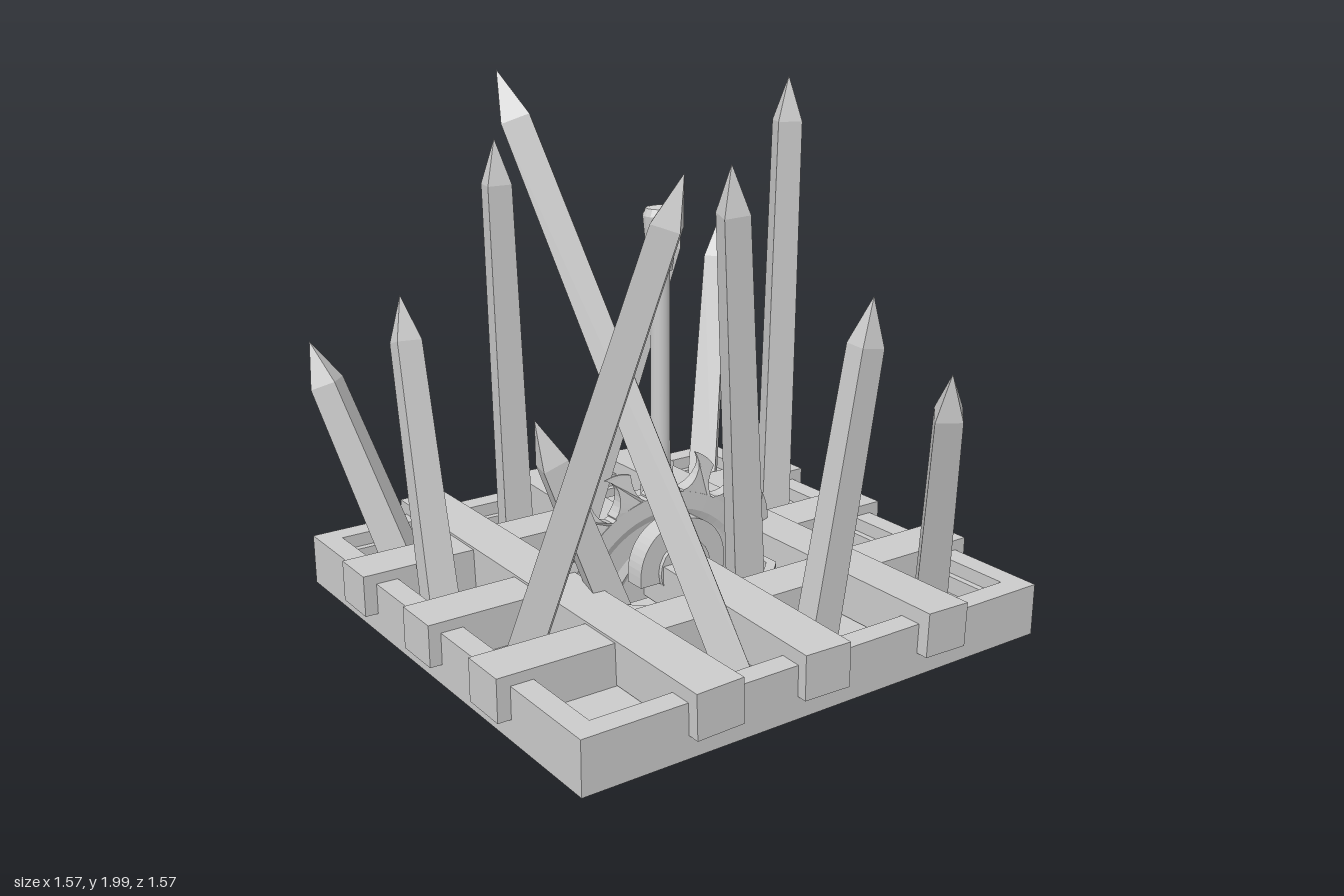
import * as THREE from 'three';

const mat = new THREE.MeshStandardMaterial({ color: 0xcccccc, flatShading: true, side: THREE.DoubleSide });
const smooth = new THREE.MeshStandardMaterial({ color: 0xcccccc, side: THREE.DoubleSide });

function add(parent, name, geometry, x = 0, y = 0, z = 0, material = mat) {
  const mesh = new THREE.Mesh(geometry, material);
  mesh.name = name;
  mesh.position.set(x, y, z);
  parent.add(mesh);
  return mesh;
}

const points = (list) => list.map(([x, y]) => new THREE.Vector2(x, y));

// Flat outline with a hole, raised from y = bottom by height
function ring(outer, inner, height) {
  const shape = new THREE.Shape(points(outer));
  shape.holes.push(new THREE.Path(points(inner)));
  return new THREE.ExtrudeGeometry(shape, { depth: height, bevelEnabled: false }).rotateX(-Math.PI / 2);
}
const rect = (s) => [[-s, -s], [s, -s], [s, s], [-s, s]];
const octagon = (a, b, c) => [
  [-a + c, -b], [a - c, -b], [a, -b + c], [a, b - c], [a - c, b], [-a + c, b], [-a, b - c], [-a, -b + c]];

// Four-sided stake from base to tip with a pyramid point
function addStake(parent, base, tip, twist, width = 0.1) {
  const a = new THREE.Vector3(...base);
  const dir = new THREE.Vector3(...tip).sub(a);
  const len = dir.length();
  const r = width * 0.64;
  const geo = new THREE.LatheGeometry(
    points([[0, 0], [r * 1.05, 0], [r * 0.86, len - 0.13], [0, len]]), 4).toNonIndexed();
  geo.scale(1, 1, 0.9);
  geo.rotateY(twist);
  geo.computeVertexNormals();
  const stake = add(parent, 'stake', geo, ...base);
  stake.quaternion.setFromUnitVectors(new THREE.Vector3(0, 1, 0), dir.normalize());
}

function buildBlade() {
  const blade = new THREE.Group();
  blade.name = 'sawBlade';
  blade.position.y = 0.457;
  // Lens-like disc with a raised centre and a shallow groove
  const half = [[0.34, 0.022], [0.29, 0.025], [0.27, 0.019], [0.21, 0.019], [0.185, 0.028], [0.17, 0.02], [0, 0.02]];
  const profile = [...half.map(([r, t]) => [r, -t]).reverse(), ...half];
  add(blade, 'bladeDisc', new THREE.LatheGeometry(points(profile), 54).rotateX(Math.PI / 2));

  // Hooked teeth, thinned towards the rim
  const tooth = new THREE.Shape();
  tooth.moveTo(0.31, -0.055);
  tooth.lineTo(0.335, -0.05);
  tooth.quadraticCurveTo(0.37, -0.018, 0.425, -0.04);
  tooth.quadraticCurveTo(0.45, -0.01, 0.452, 0.04);
  tooth.quadraticCurveTo(0.43, 0.012, 0.405, 0.014);
  tooth.quadraticCurveTo(0.36, 0.018, 0.34, 0.055);
  tooth.lineTo(0.31, 0.055);
  tooth.closePath();
  const geo = new THREE.ExtrudeGeometry(tooth, { depth: 2, bevelEnabled: false, curveSegments: 5 });
  geo.translate(0, 0, -1);
  const p = geo.attributes.position;
  for (let i = 0; i < p.count; i++) {
    const r = Math.hypot(p.getX(i), p.getY(i));
    p.setZ(i, p.getZ(i) * Math.max(0.002, 0.022 * Math.min(1, (0.46 - r) / 0.11)));
  }
  geo.computeVertexNormals();
  for (let i = 0; i < 18; i++) {
    add(blade, 'bladeTooth', geo).rotation.z = (i / 18) * Math.PI * 2 - 0.18;
  }
  return blade;
}

export function createModel() {
  const model = new THREE.Group();
  model.name = 'spikedSawTrap';

  // Square tray with an inner lip and floor
  add(model, 'frame', ring(rect(0.745), rect(0.68), 0.15), 0, 0.44, 0);
  add(model, 'frameLip', ring(rect(0.685), rect(0.66), 0.09), 0, 0.46, 0);
  add(model, 'floor', ring(rect(0.69), rect(0).map(([x, y], i) => [i % 3 ? 0.25 : -0.25, i < 2 ? -0.035 : 0.035]), 0.015), 0, 0.485, 0);

  // Lattice planks lying across the tray
  for (const [z, yaw] of [[-0.375, -0.006], [0.365, -0.006]]) {
    add(model, 'crossPlank', new THREE.BoxGeometry(1.565, 0.12, 0.14), 0, 0.56, z).rotation.y = yaw;
  }
  for (const s of [-1, 1]) {
    add(model, 'middleCrossPlank', new THREE.BoxGeometry(0.5, 0.12, 0.145), s * 0.53, 0.56, 0);
  }
  for (const [x, yaw, tilt] of [[-0.37, -0.005, 0.03], [0, -0.05, 0.01], [0.37, 0.003, -0.03]]) {
    const plank = add(model, 'longPlank', new THREE.BoxGeometry(0.14, 0.125, 1.56), x, 0.567, 0);
    plank.rotation.set(0, yaw, tilt);
  }

  // Eight-sided rim around the blade well
  add(model, 'wellRim', ring(octagon(0.275, 0.25, 0.06), octagon(0.25, 0.225, 0.05), 0.13), 0, 0.45, 0);
  for (const s of [-1, 1]) {
    add(model, 'slotRail', new THREE.BoxGeometry(0.6, 0.05, 0.03), 0, 0.47, s * 0.055);
  }

  model.add(buildBlade());

  // Axle arches on both sides of the blade, with the lever between them
  const arch = new THREE.Shape();
  arch.moveTo(-0.145, -0.03);
  arch.lineTo(0.145, -0.03);
  arch.lineTo(0.145, 0);
  arch.absarc(0, 0, 0.145, 0, Math.PI, false);
  arch.closePath();
  const archGeo = new THREE.ExtrudeGeometry(arch, { depth: 0.065, bevelEnabled: false, curveSegments: 12 });
  for (const s of [-1, 1]) {
    add(model, 'axleArch', archGeo, 0, 0.605, s * 0.08 - 0.0325);
    add(model, 'axleCap', new THREE.CylinderGeometry(0.085, 0.085, 0.02, 20).rotateX(Math.PI / 2), 0, 0.605, s * 0.115);
    add(model, 'leverFork', new THREE.BoxGeometry(0.075, 0.16, 0.018), 0, 0.735, s * 0.035);
  }
  add(model, 'leverSocket', new THREE.CylinderGeometry(0.036, 0.036, 0.06, 16), 0, 0.79, 0, smooth);
  add(model, 'lever', new THREE.CylinderGeometry(0.026, 0.029, 0.66, 16), 0, 1.13, 0, smooth);
  add(model, 'leverGrip', new THREE.LatheGeometry(
    points([[0, 0], [0.033, 0], [0.036, 0.02], [0.049, 0.15], [0.04, 0.17], [0, 0.178]]), 16), 0, 1.44, 0);

  // Leaning stakes: base, tip, twist, width
  const stakes = [
    [[-0.15, 0.46, 0.57], [-0.48, 1.995, -0.015], 0.3],
    [[-0.58, 0.46, 0.17], [-0.285, 1.79, 0.5], 0.1],
    [[-0.175, 0.46, -0.52], [-0.2, 1.75, -0.54], 0.6],
    [[0.16, 0.46, 0.2], [0.015, 1.76, 0.29], 0.5],
    [[0.56, 0.46, -0.18], [0.595, 1.91, -0.19], 0.4],
    [[0.14, 0.46, 0.515], [0.29, 1.43, 0.535], 0.7],
    [[0.6, 0.46, 0.49], [0.42, 1.24, 0.7], 0.1],
    [[0.5, 0.46, -0.48], [0.725, 1.4, -0.69], 0.1],
    [[-0.6, 0.46, -0.2], [-0.545, 1.35, -0.485], 0.7],
    [[-0.53, 0.46, -0.53], [-0.72, 1.19, -0.73], 0.1],
    [[-0.22, 0.46, 0.145], [-0.46, 1.12, 0.09], 0.6],
    [[-0.23, 0.46, -0.2], [0.1, 1.62, -0.05], 0.4],
  ];
  for (const [base, tip, twist] of stakes) addStake(model, base, tip, twist);

  return model;
}
